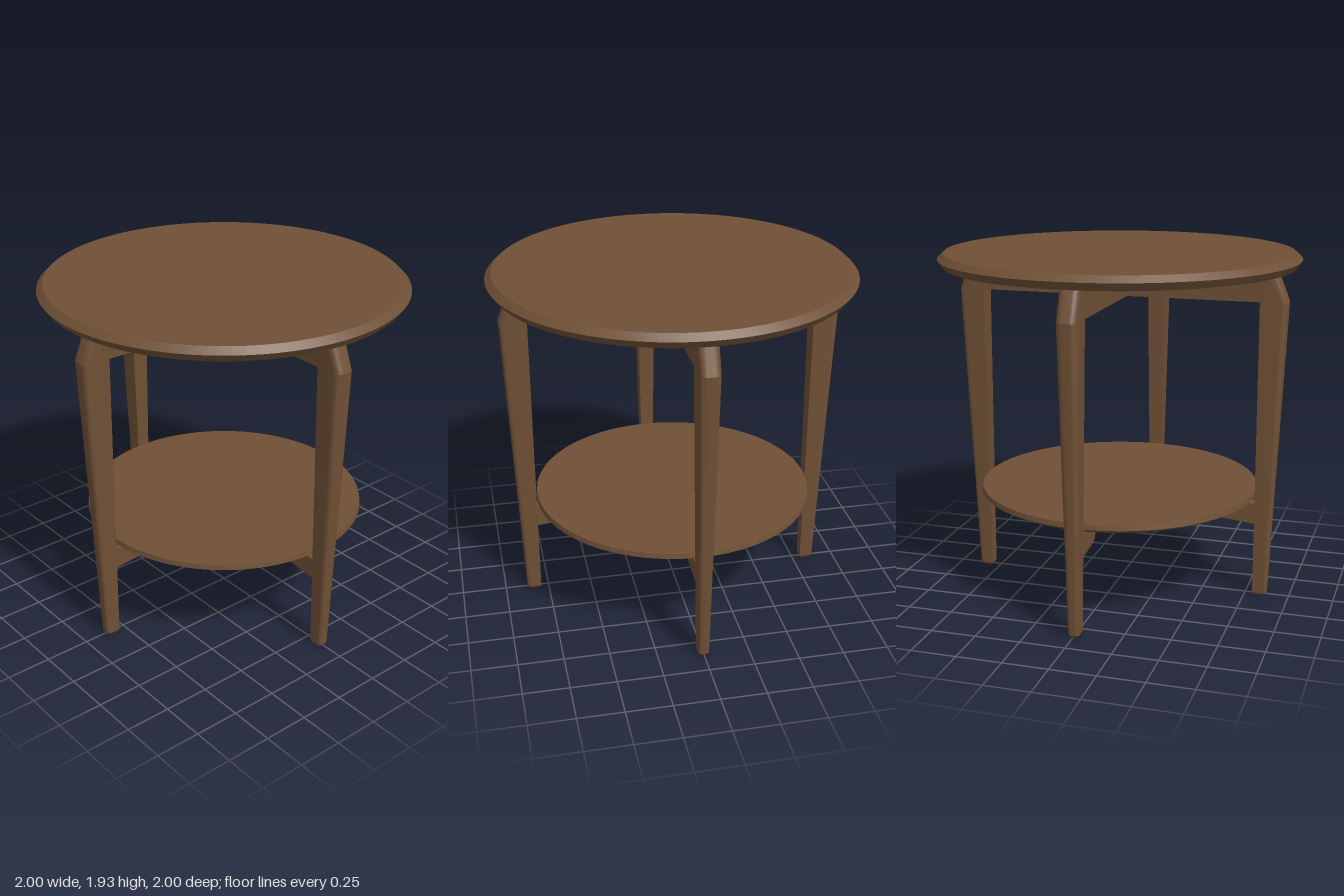
import * as THREE from 'three';
import { toCreasedNormals } from 'three/addons/utils/BufferGeometryUtils.js';

const CREASE = 0.35;
const wood = new THREE.MeshStandardMaterial({ color: 0x6f5035 });
wood.name = 'walnut wood';

function addPart(parent, name, geometry) {
  const mesh = new THREE.Mesh(toCreasedNormals(geometry, CREASE), wood);
  mesh.name = name;
  parent.add(mesh);
  return mesh;
}

// Round board with a bevelled rim, from [radius, y] pairs listed bottom to top
function board(profile) {
  return new THREE.LatheGeometry(profile.map(([r, y]) => new THREE.Vector2(r, y)), 96);
}

// Horizontal leg section: flat inner face, rounded outer corners
function legSection({ y, inner, outer, half }) {
  const r = half * 0.6, steps = 6, ring = [[inner, y, half]];
  for (const side of [1, -1]) {
    for (let i = 0; i <= steps; i++) {
      const t = (i / steps) * Math.PI / 2;
      const a = side > 0 ? Math.PI / 2 - t : -t;
      ring.push([outer - r + r * Math.cos(a), y, side * (half - r) + r * Math.sin(a)]);
    }
  }
  ring.push([inner, y, -half]);
  return ring;
}

// Joins the sections from bottom to top and caps both ends
function loft(rings) {
  const n = rings[0].length, last = rings.length - 1, index = [];
  for (let k = 0; k < last; k++) {
    for (let i = 0; i < n; i++) {
      const a = k * n + i, b = k * n + (i + 1) % n;
      index.push(a, b, a + n, b, b + n, a + n);
    }
  }
  for (let i = 1; i < n - 1; i++) {
    index.push(0, i + 1, i);
    index.push(last * n, last * n + i, last * n + i + 1);
  }
  const geometry = new THREE.BufferGeometry();
  geometry.setAttribute('position', new THREE.Float32BufferAttribute(rings.flat(2), 3));
  geometry.setIndex(index);
  return geometry;
}

// Tapered leg with a small foot chamfer and a sloping shoulder
function legGeometry() {
  return loft([
    { y: 0, inner: 0.8, outer: 0.865, half: 0.025 },
    { y: 0.012, inner: 0.795, outer: 0.874, half: 0.03 },
    { y: 1.685, inner: 0.795, outer: 0.945, half: 0.055 },
    { y: 1.857, inner: 0.795, outer: 0.878, half: 0.055 },
  ].map(legSection));
}

// Shelf bracket: tapering finger with a rounded tip
function bracketGeometry() {
  const shape = new THREE.Shape();
  shape.moveTo(0.81, 0.424);
  shape.lineTo(0.81, 0.545);
  shape.lineTo(0.633, 0.545);
  shape.absarc(0.633, 0.494, 0.051, Math.PI / 2, Math.PI * 1.5, false);
  shape.closePath();
  const width = 0.07;
  const geometry = new THREE.ExtrudeGeometry(shape, { depth: width, bevelEnabled: false, curveSegments: 14 });
  return geometry.translate(0, 0, -width / 2);
}

export function createModel() {
  const table = new THREE.Group();
  table.name = 'roundSideTable';

  // Table top and lower shelf
  addPart(table, 'tableTop', board([[0, 1.855], [0.97, 1.855], [1, 1.897], [0.965, 1.93], [0, 1.93]]));
  addPart(table, 'lowerShelf', board([[0, 0.545], [0.73, 0.545], [0.79, 0.577], [0.785, 0.605], [0, 0.605]]));

  // Crossed rails under the top: one full rail and two halves meeting it
  const height = 0.17, width = 0.11, y = 1.685 + height / 2;
  addPart(table, 'longRail', new THREE.BoxGeometry(1.6, height, width)).position.y = y;
  for (const side of [1, -1]) {
    const length = 0.8 - width / 2;
    const rail = addPart(table, 'shortRail', new THREE.BoxGeometry(width, height, length));
    rail.position.set(0, y, side * (width / 2 + length / 2));
  }

  // Four legs, each with its shelf bracket
  ['left', 'back', 'right', 'front'].forEach((place, i) => {
    const unit = new THREE.Group();
    unit.name = `${place}LegAssembly`;
    addPart(unit, `${place}Leg`, legGeometry());
    addPart(unit, `${place}ShelfBracket`, bracketGeometry());
    unit.rotation.y = i * Math.PI / 2;
    table.add(unit);
  });

  return table;
}
